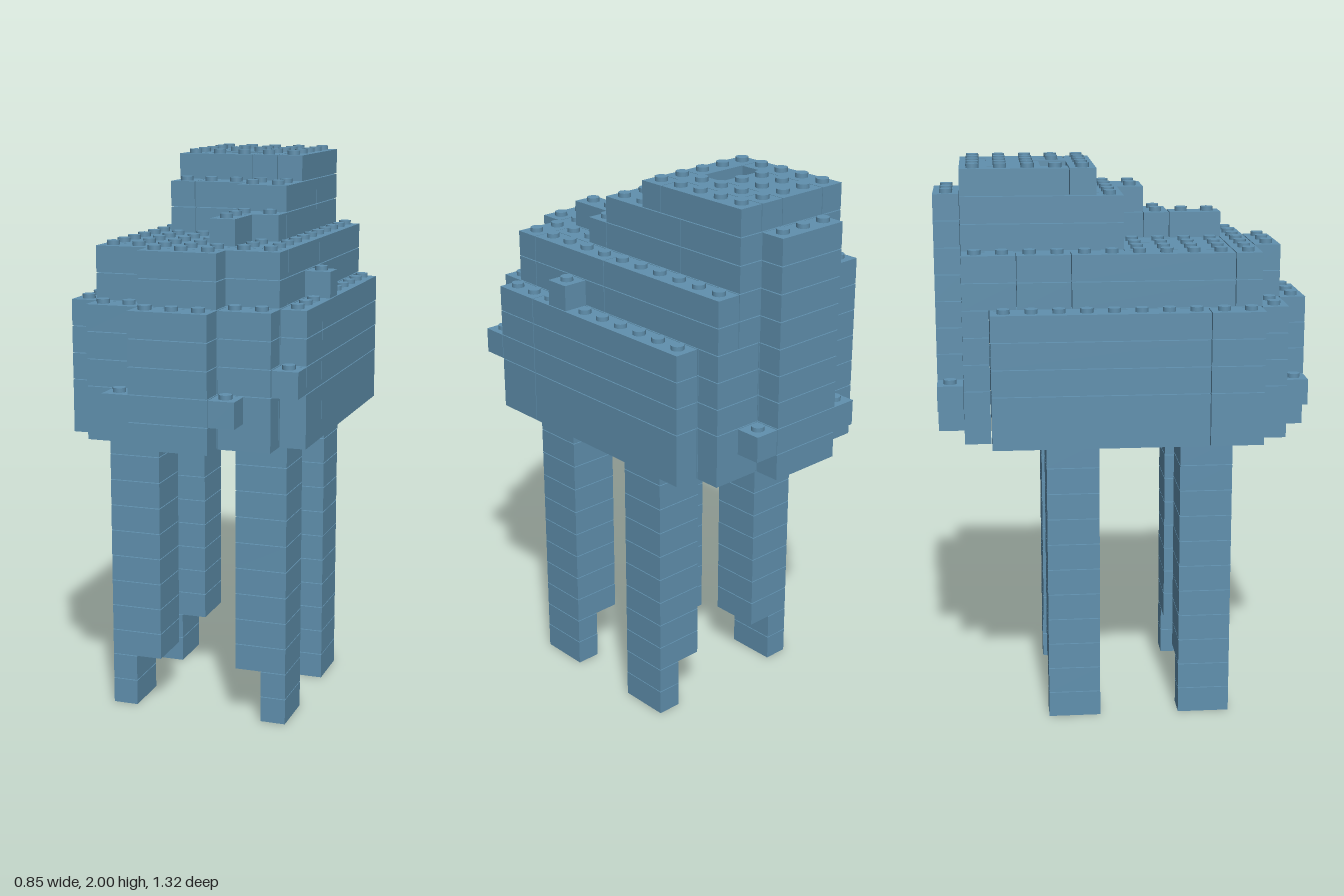
import * as THREE from 'three';
import { mergeGeometries } from 'three/addons/utils/BufferGeometryUtils.js';

const U = 0.0945;      // grid pitch and layer height
const GAP = 0.003;     // seam between neighbouring bricks
const STUD_H = 0.0155;
const STUD_R = 0.0225;

// Bricks are [layer, height, firstColumn, lastColumn, firstRow, lastRow];
// columns 0-8 run along x, rows 0-13 run from back to front.
function legBricks(mid, foot, row) {
  const out = [];
  for (let y = 0; y < 11; y++) {
    out.push(y < 2 ? [y, 1, foot, foot, row, row + 1] : [y, 1, mid, mid + 1, row, row + 1]);
  }
  return out;
}

function bodyBricks() {
  const out = [];
  for (const [y, h] of [[11, 2], [13, 1], [14, 1], [15, 1]]) {
    out.push([y, h, 1, 7, 2, 11]);                                        // core
    for (const c of [0, 8]) out.push([y, h, c, c, 2, 9], [y, h, c, c, 10, 11]); // side walls
    for (const r of [1, 12]) {                                            // end walls
      out.push([y, h, 1, 2, r, r], [y, h, 3, 5, r, r], [y, h, 6, 7, r, r]);
    }
  }
  out.push([13, 1, 8, 8, 12, 12], [16, 1, 8, 8, 8, 8]);                   // single side bricks
  return out;
}

function endBricks(row, top) {
  const out = [[11, 1, 3, 5, row, row], [12, 1, 2, 5, row, row], [12, 1, 6, 6, row, row]];
  for (let y = 13; y <= top; y++) out.push([y, 1, 3, 5, row, row]);
  return out;
}

function shoulderBricks() {
  const out = [];
  for (const y of [16, 17]) {
    out.push(
      [y, 1, 1, 1, 1, 2], [y, 1, 1, 1, 3, 4], [y, 1, 1, 1, 5, 10],
      [y, 1, 7, 7, 1, 6], [y, 1, 7, 7, 7, 10],
      [y, 1, 2, 6, 1, 6],
      [y, 1, 2, 3, 7, 10], [y, 1, 4, 4, 7, 10], [y, 1, 5, 5, 7, 10], [y, 1, 6, 6, 7, 10],
      [y, 1, 1, 7, 11, 11], [y, 1, 3, 5, 12, 12]);
  }
  return out;
}

function towerBricks() {
  const out = [];
  for (const y of [18, 19]) {
    out.push([y, 1, 2, 2, 1, 6], [y, 1, 3, 4, 1, 6], [y, 1, 5, 6, 1, 3], [y, 1, 5, 6, 4, 7]);
  }
  out.push([18, 1, 5, 6, 8, 8], [18, 1, 5, 5, 9, 10]);
  return out;
}

// Top ring, open over columns 3-4 of row 4
const crownBricks = [
  [20, 1, 2, 2, 1, 4], [20, 1, 3, 4, 1, 3], [20, 1, 2, 4, 5, 5],
  [20, 1, 5, 5, 1, 1], [20, 1, 5, 5, 2, 5], [20, 1, 6, 6, 1, 4], [20, 1, 6, 6, 5, 5],
];

export function createModel() {
  const blue = new THREE.MeshStandardMaterial({ color: 0x6090ae });
  blue.name = 'dusty blue';

  const parts = {
    frontRightLeg: legBricks(1, 1, 9),
    frontLeftLeg: legBricks(6, 7, 9),
    backRightLeg: legBricks(1, 1, 4),
    backLeftLeg: legBricks(6, 7, 4),
    body: bodyBricks(),
    frontPanel: endBricks(13, 15),
    backColumn: endBricks(0, 19),
    shoulders: shoulderBricks(),
    upperBlock: towerBricks(),
    crown: crownBricks,
  };

  // Mark filled cells so that only exposed studs are made
  const filled = new Set();
  for (const list of Object.values(parts)) {
    for (const [y, h, c0, c1, r0, r1] of list) {
      for (let a = y; a < y + h; a++)
        for (let c = c0; c <= c1; c++)
          for (let r = r0; r <= r1; r++) filled.add(`${a},${c},${r}`);
    }
  }

  const stud = new THREE.CylinderGeometry(STUD_R, STUD_R, STUD_H, 16);

  function brickGeometry([y, h, c0, c1, r0, r1]) {
    const box = new THREE.BoxGeometry((c1 - c0 + 1) * U - GAP, h * U - GAP, (r1 - r0 + 1) * U - GAP);
    box.translate(((c0 + c1) / 2 - 4) * U, (y + h / 2) * U, ((r0 + r1) / 2 - 6.5) * U);
    const pieces = [box];
    for (let c = c0; c <= c1; c++) {
      for (let r = r0; r <= r1; r++) {
        if (filled.has(`${y + h},${c},${r}`)) continue;
        pieces.push(stud.clone().translate((c - 4) * U, (y + h) * U + STUD_H / 2 - GAP / 2, (r - 6.5) * U));
      }
    }
    return mergeGeometries(pieces);
  }

  const model = new THREE.Group();
  model.name = 'brickFigure';
  for (const [name, list] of Object.entries(parts)) {
    const group = new THREE.Group();
    group.name = name;
    for (const brick of list) {
      const mesh = new THREE.Mesh(brickGeometry(brick), blue);
      mesh.name = `${name}Brick`;
      group.add(mesh);
    }
    model.add(group);
  }
  return model;
}
